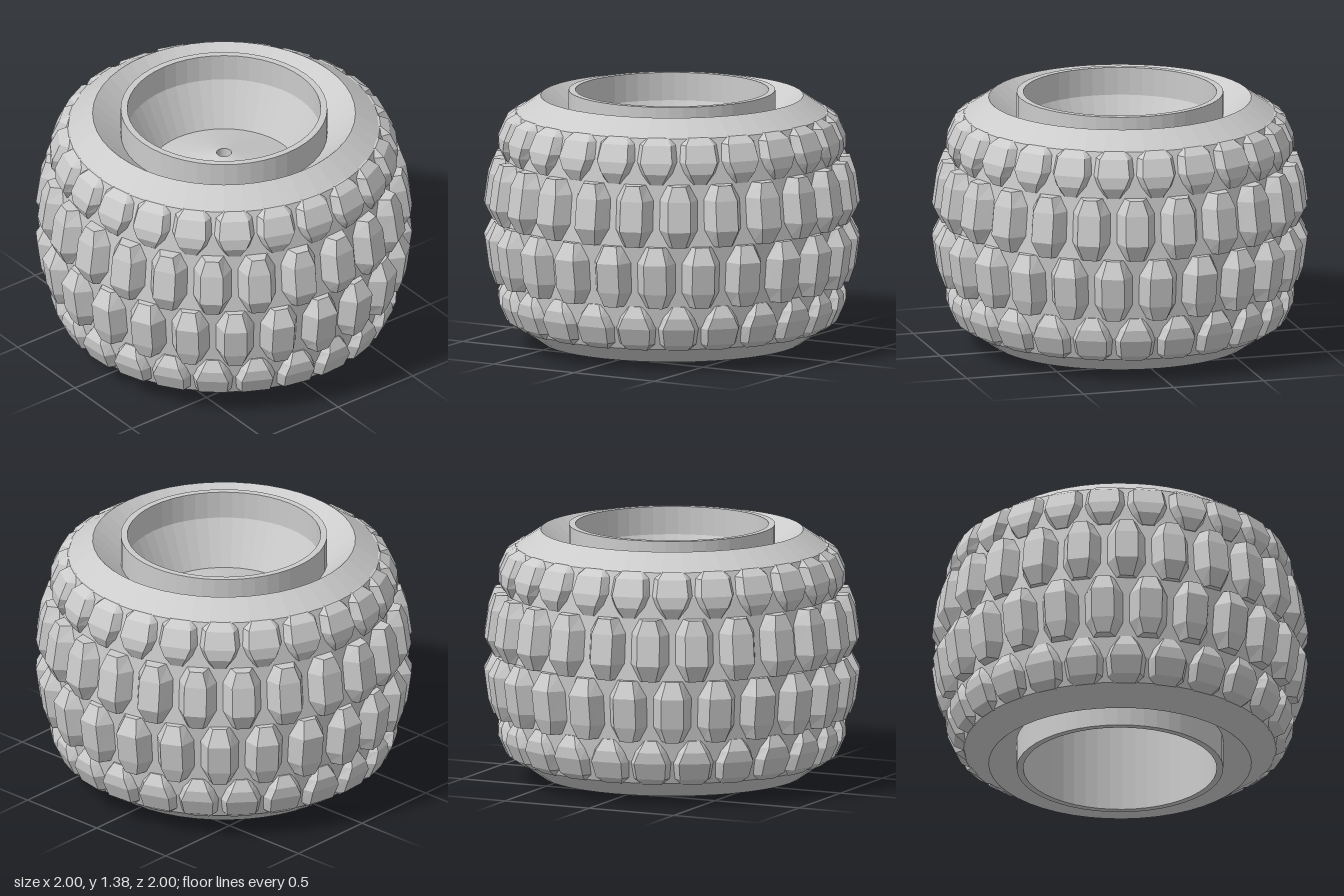
import * as THREE from 'three';
import { mergeGeometries } from 'three/addons/utils/BufferGeometryUtils.js';

const MID = 0.69; // height of the tyre's middle plane
const LUGS = 24; // lugs in each tread row
const material = new THREE.MeshStandardMaterial({ color: 0xcccccc, flatShading: true });

const lathe = (points, segments) =>
  new THREE.LatheGeometry(points.map(([r, y]) => new THREE.Vector2(r, y)), segments);

// One lug facing +z, lofted from trapezoid sections [y above MID, base r, top r, base half width, top half width]
function lugGeometry(sections) {
  const rings = sections.map(([y, r0, r1, w0, w1]) =>
    [[-w0, y, r0], [-w1, y, r1], [w1, y, r1], [w0, y, r0]]);
  const positions = [];
  const quad = (a, b, c, d) => positions.push(...a, ...b, ...c, ...a, ...c, ...d);
  for (let i = 0; i < rings.length - 1; i++) {
    for (let j = 0; j < 4; j++) {
      const k = (j + 1) % 4;
      quad(rings[i][j], rings[i][k], rings[i + 1][k], rings[i + 1][j]);
    }
  }
  const last = rings[rings.length - 1];
  quad(rings[0][3], rings[0][2], rings[0][1], rings[0][0]);
  quad(last[0], last[1], last[2], last[3]);
  const geometry = new THREE.BufferGeometry();
  geometry.setAttribute('position', new THREE.Float32BufferAttribute(positions, 3));
  geometry.computeVertexNormals();
  return geometry;
}

// A full ring of lugs; lower rows are the upper ones turned over
function treadRow(name, sections, phase, lower) {
  const lug = lugGeometry(sections);
  if (lower) lug.rotateZ(Math.PI);
  const copies = [];
  for (let i = 0; i < LUGS; i++) {
    copies.push(lug.clone().rotateY(phase + (i * Math.PI * 2) / LUGS));
  }
  const mesh = new THREE.Mesh(mergeGeometries(copies), material);
  mesh.name = name;
  mesh.position.y = MID;
  return mesh;
}

export function createModel() {
  const group = new THREE.Group();
  group.name = 'wheel';

  // Tyre carcass: half profile from the middle to the dished sidewall, mirrored
  const half = [[0.925, 0], [0.89, 0.33], [0.875, 0.44], [0.83, 0.57], [0.7, 0.66], [0.55, 0.53]];
  const profile = [
    ...half.slice(1).reverse().map(([r, y]) => [r, MID - y]),
    ...half.map(([r, y]) => [r, MID + y]),
  ];
  const tyre = new THREE.Mesh(lathe(profile, 48), material);
  tyre.name = 'tyre';
  group.add(tyre);

  // Rim: outer barrel, dished upper face with a raised cone and bore, deep lower well
  const rim = new THREE.Mesh(lathe([
    [0.55, 0], [0.55, 1.38], [0.515, 1.38], [0.515, 1.23], [0.4, 0.99], [0.04, 1.1],
    [0.04, 0.48], [0.515, 0.48], [0.515, 0], [0.55, 0],
  ], 48), material);
  rim.name = 'rim';
  group.add(rim);

  // Tread: centre and shoulder rows, each staggered by half a pitch
  const centreLug = [
    [0.0, 0.9, 0.955, 0.065, 0.035],
    [0.09, 0.9, 1.0, 0.105, 0.06],
    [0.25, 0.88, 0.978, 0.105, 0.06],
    [0.33, 0.87, 0.95, 0.065, 0.035],
  ];
  const shoulderLug = [
    [0.33, 0.86, 0.895, 0.055, 0.03],
    [0.39, 0.86, 0.925, 0.09, 0.06],
    [0.45, 0.85, 0.922, 0.112, 0.085],
    [0.54, 0.81, 0.882, 0.105, 0.075],
    [0.575, 0.79, 0.832, 0.075, 0.05],
  ];
  const stagger = Math.PI / LUGS / 2;
  group.add(
    treadRow('upperShoulderTread', shoulderLug, -stagger, false),
    treadRow('upperCentreTread', centreLug, stagger, false),
    treadRow('lowerCentreTread', centreLug, -stagger, true),
    treadRow('lowerShoulderTread', shoulderLug, stagger, true),
  );
  return group;
}
